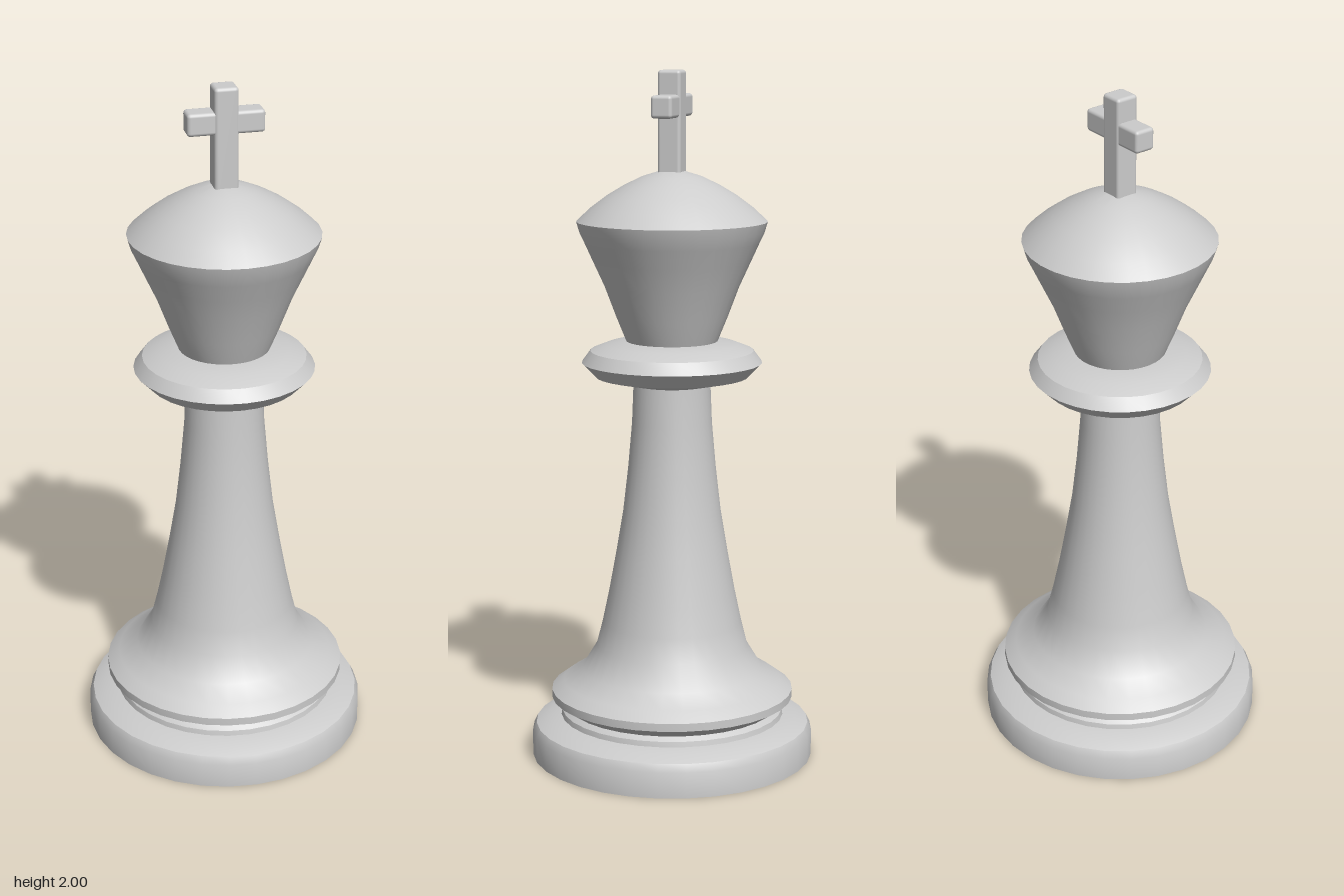
import * as THREE from 'three';
import { toCreasedNormals } from 'three/addons/utils/BufferGeometryUtils.js';
import { RoundedBoxGeometry } from 'three/addons/geometries/RoundedBoxGeometry.js';

const grey = new THREE.MeshStandardMaterial({ color: 0xcccccc });
grey.name = 'light grey';

// Turned part from [radius, height] pairs, listed bottom to top
function turned(name, profile) {
  const points = profile.map(([r, y]) => new THREE.Vector2(r, y));
  const mesh = new THREE.Mesh(toCreasedNormals(new THREE.LatheGeometry(points, 32), 0.5), grey);
  mesh.name = name;
  return mesh;
}

function bar(name, w, h, d, y) {
  const mesh = new THREE.Mesh(new RoundedBoxGeometry(w, h, d, 2, 0.01), grey);
  mesh.name = name;
  mesh.position.y = y;
  return mesh;
}

export function createModel() {
  const model = new THREE.Group();
  model.name = 'chessKing';

  model.add(
    // Wide foot with a rounded shoulder and a stepped neck
    turned('foot', [
      [0, 0], [0.413, 0], [0.413, 0.075], [0.402, 0.097], [0.365, 0.113],
      [0.328, 0.12], [0.325, 0.135], [0.31, 0.146], [0, 0.146],
    ]),
    // Flared lower ring running up into the tapering stem
    turned('stem', [
      [0.31, 0.146], [0.355, 0.175], [0.355, 0.198], [0.32, 0.224], [0.265, 0.258],
      [0.222, 0.328], [0.204, 0.4], [0.185, 0.49], [0.163, 0.61], [0.143, 0.73],
      [0.128, 0.86], [0.116, 0.995], [0.111, 1.12],
    ]),
    // Collar below the head
    turned('collar', [
      [0, 1.105], [0.11, 1.105], [0.222, 1.13], [0.26, 1.17], [0.235, 1.204],
      [0.19, 1.222], [0.13, 1.232], [0, 1.232],
    ]),
    // Flared head with a domed top
    turned('head', [
      [0.13, 1.228], [0.16, 1.302], [0.193, 1.39], [0.225, 1.46], [0.25, 1.515],
      [0.264, 1.545], [0.273, 1.575], [0.232, 1.613], [0.185, 1.648], [0.135, 1.678],
      [0.085, 1.702], [0.04, 1.716], [0, 1.72],
    ]),
  );

  // Cross finial
  const cross = new THREE.Group();
  cross.name = 'cross';
  cross.add(
    bar('crossUpright', 0.068, 0.32, 0.068, 1.84),
    bar('crossArms', 0.218, 0.064, 0.062, 1.9),
  );
  model.add(cross);
  return model;
}
